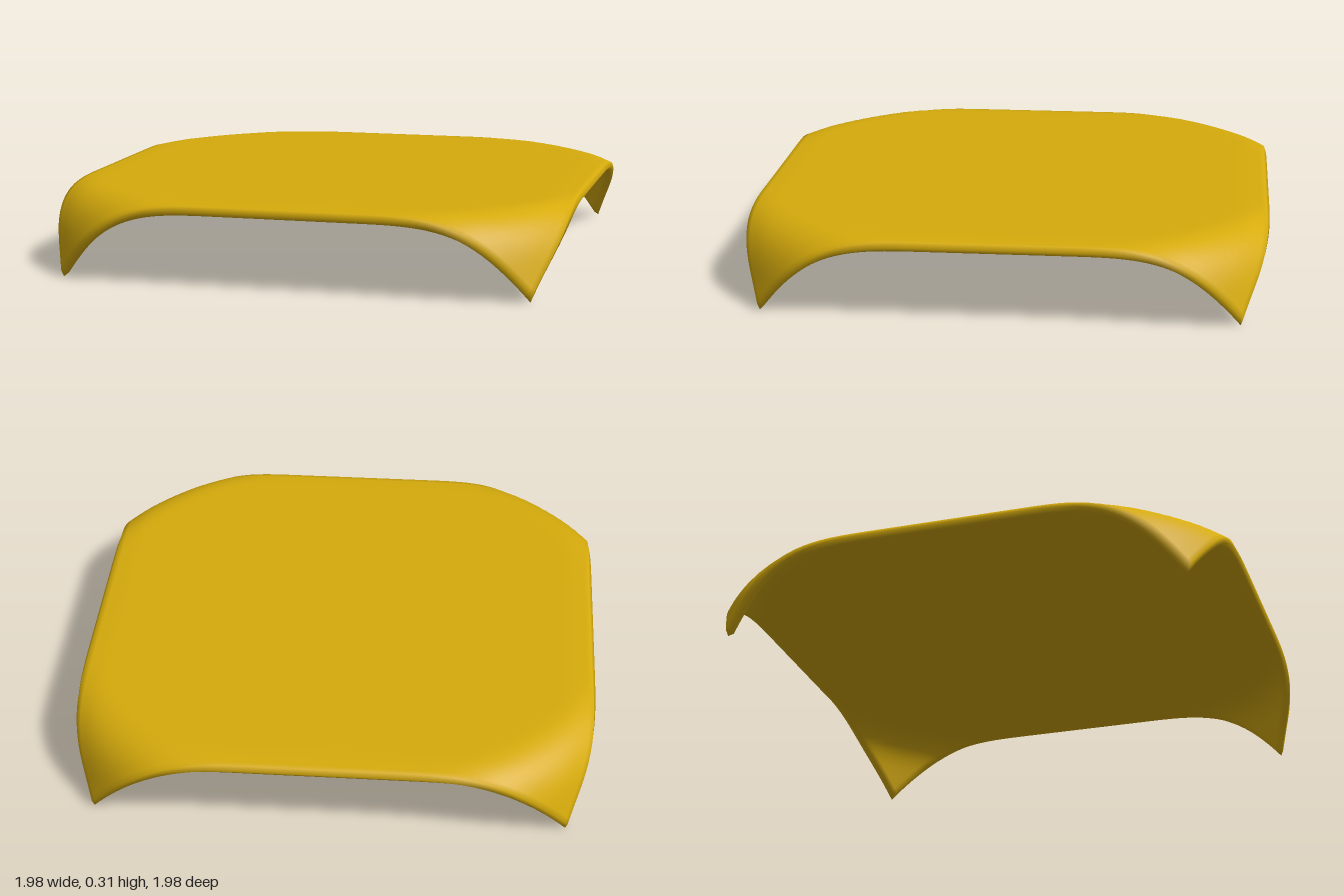
import * as THREE from 'three';
import { mergeVertices } from 'three/addons/utils/BufferGeometryUtils.js';

const HALF = 0.985, THICK = 0.034, TOP = 0.32, SKEW = 0.015;

// Cloth bends over a round rim: angle of slope at distance r from the centre
const slope = (r) => THREE.MathUtils.smoothstep(r, 1.0, 1.3) * 1.26;

// Radius and drop reached after walking distance r along the bent cloth
function drape(r) {
  if (r <= 1) return { radius: r, drop: 0 };
  let radius = 1, drop = 0;
  const steps = 24, d = (r - 1) / steps;
  for (let i = 0; i < steps; i++) {
    const a = slope(1 + (i + 0.5) * d);
    radius += Math.cos(a) * d;
    drop += Math.sin(a) * d * 1.16;
  }
  return { radius, drop };
}

export function createModel() {
  const group = new THREE.Group();
  group.name = 'drapedCloth';

  // Thin slab whose middle layer sticks out a little, giving a rounded hem
  let geo = new THREE.BoxGeometry(2 * HALF, THICK, 2 * HALF, 64, 2, 64);
  geo.deleteAttribute('normal');
  geo.deleteAttribute('uv');
  geo = mergeVertices(geo, 1e-4);

  const pos = geo.attributes.position;
  for (let i = 0; i < pos.count; i++) {
    let u = pos.getX(i), v = pos.getZ(i);
    const t = pos.getY(i);
    if (Math.abs(t) > 0.001) {
      if (Math.abs(u) > HALF - 0.001) u *= 0.988;
      if (Math.abs(v) > HALF - 0.001) v *= 0.988;
    }
    const r = Math.hypot(u, v) || 1e-6;
    const { radius, drop } = drape(r);
    const a = slope(r);
    // Offset along the bent surface normal keeps the thickness even
    const k = (radius + t * Math.sin(a)) / r;
    // Hem sags slightly along the straight sides
    const sag = 0.006 * THREE.MathUtils.smoothstep(Math.max(Math.abs(u), Math.abs(v)), 0.88, 1);
    const x = u * k, z = v * k;
    pos.setXYZ(i, x + SKEW * z, TOP - THICK / 2 - drop - sag + t * Math.cos(a), z - SKEW * x);
  }

  // Rest the hanging corners on the ground
  geo.computeBoundingBox();
  geo.translate(0, -geo.boundingBox.min.y, 0);
  geo.computeVertexNormals();

  const cloth = new THREE.Mesh(geo, new THREE.MeshStandardMaterial({ color: 0xd6ab0c }));
  cloth.name = 'cloth';
  group.add(cloth);
  return group;
}
